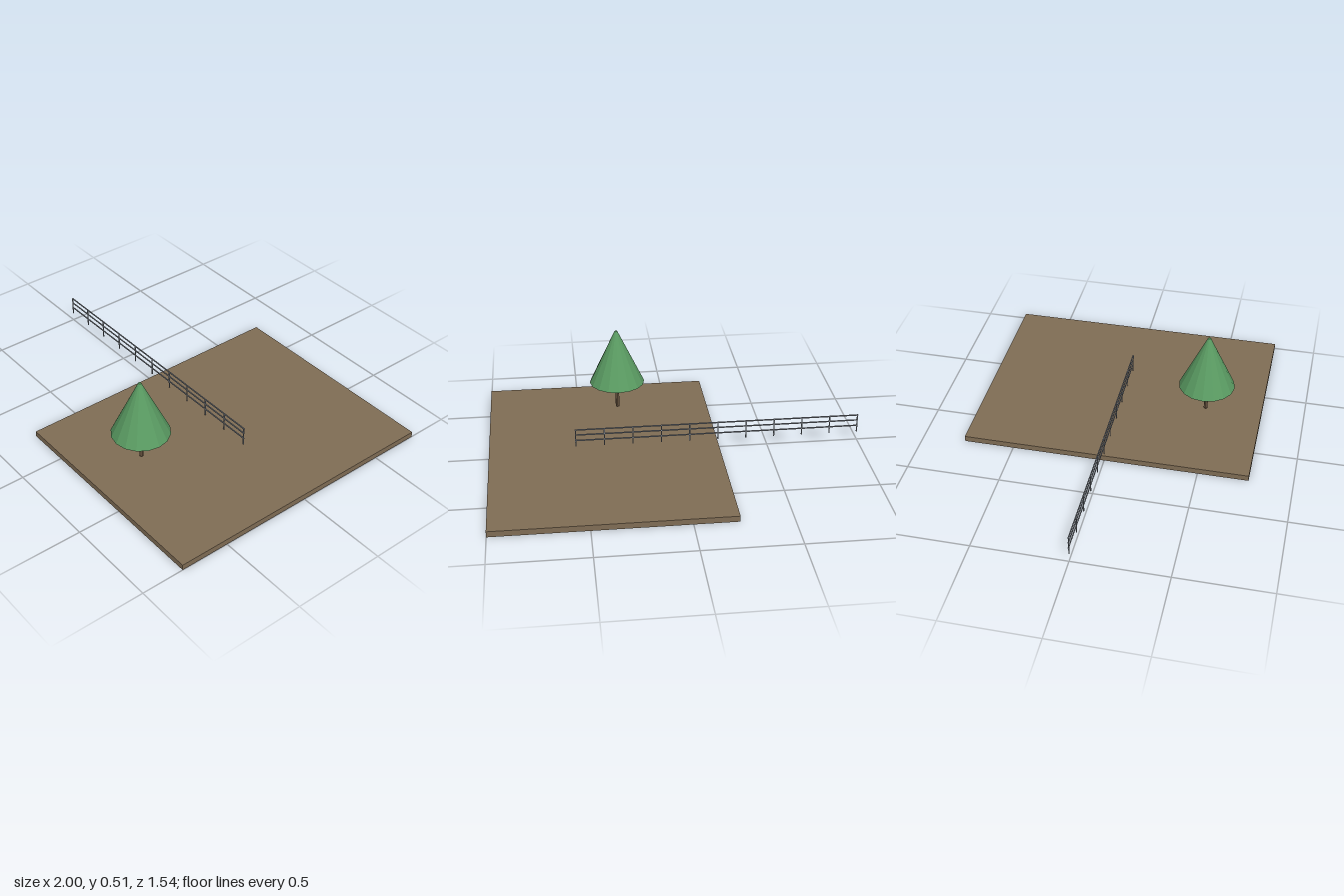
import * as THREE from 'three';

const material = (name, color, flatShading = false) => {
  const m = new THREE.MeshStandardMaterial({ color, flatShading });
  m.name = name;
  return m;
};

export function createModel() {
  const soil = material('soil brown', 0x806d55);
  const bark = material('bark brown', 0x7a634c, true);
  const leaf = material('leaf green', 0x5a9b62, true);
  const metal = material('fence grey', 0x868c94);
  const model = new THREE.Group();

  const add = (parent, name, geometry, mat, x, y, z) => {
    const mesh = new THREE.Mesh(geometry, mat);
    mesh.name = name;
    mesh.position.set(x, y, z);
    parent.add(mesh);
    return mesh;
  };

  // Ground slab
  add(model, 'ground', new THREE.BoxGeometry(1.23, 0.031, 1.538), soil, 0.385, 0.0155, 0);

  // Tree: stepped trunk and faceted conical crown
  const tree = new THREE.Group();
  tree.name = 'tree';
  tree.position.set(0.28, 0, 0.462);
  model.add(tree);
  add(tree, 'lowerTrunk', new THREE.CylinderGeometry(0.0105, 0.0105, 0.084, 8), bark, 0, 0.09, 0);
  add(tree, 'upperTrunk', new THREE.CylinderGeometry(0.008, 0.008, 0.084, 8), bark, 0, 0.173, 0);
  add(tree, 'crown', new THREE.CylinderGeometry(0.008, 0.153, 0.307, 16), leaf, 0, 0.356, 0);

  // Fence: eleven evenly spaced posts joined by three rails
  const fence = new THREE.Group();
  fence.name = 'fence';
  model.add(fence);
  const left = -0.997, right = 0.537, posts = 11;
  const postGeometry = new THREE.BoxGeometry(0.006, 0.103, 0.004);
  for (let i = 0; i < posts; i++) {
    const x = left + (right - left) * i / (posts - 1);
    add(fence, 'fencePost', postGeometry, metal, x, 0.1, 0);
  }
  const railGeometry = new THREE.BoxGeometry(right - left + 0.006, 0.006, 0.005);
  for (const y of [0.086, 0.119, 0.149]) {
    add(fence, 'fenceRail', railGeometry, metal, (left + right) / 2, y, -0.002);
  }
  return model;
}
